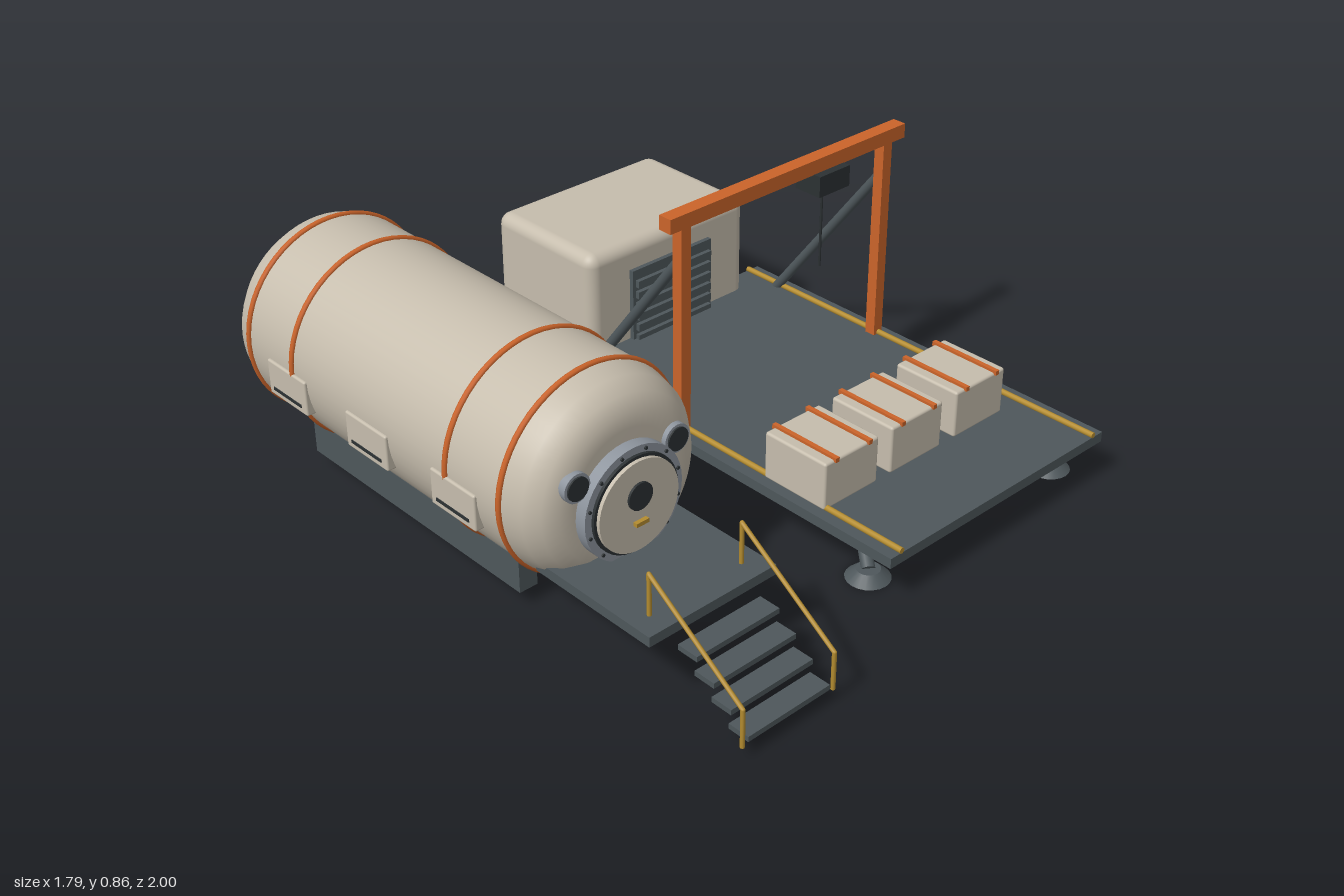
import * as THREE from 'three';
import { RoundedBoxGeometry } from 'three/addons/geometries/RoundedBoxGeometry.js';

const mat = (name, color) => {
  const m = new THREE.MeshStandardMaterial({ color });
  m.name = name;
  return m;
};

export function createModel() {
  const shell = mat('warm beige', 0xc6bdad);
  const orange = mat('safety orange', 0xcb642a);
  const steel = mat('dark steel', 0x4e575b);
  const black = mat('charcoal', 0x2c3133);
  const gold = mat('ochre', 0xb58d30);
  const grey = mat('pale grey', 0x8e959e);

  const root = new THREE.Group();
  root.name = 'outpost';
  const group = (name) => {
    const g = new THREE.Group();
    g.name = name;
    root.add(g);
    return g;
  };
  const add = (parent, name, geo, material, x = 0, y = 0, z = 0) => {
    const m = new THREE.Mesh(geo, material);
    m.name = name;
    m.position.set(x, y, z);
    parent.add(m);
    return m;
  };
  // box given by its min and max along each axis
  const box = (parent, name, material, x0, x1, y0, y1, z0, z1, round = 0) => {
    const s = [x1 - x0, y1 - y0, z1 - z0];
    const geo = round ? new RoundedBoxGeometry(...s, 4, round) : new THREE.BoxGeometry(...s);
    return add(parent, name, geo, material, (x0 + x1) / 2, (y0 + y1) / 2, (z0 + z1) / 2);
  };
  // round bar between two points
  const bar = (parent, name, material, a, b, r, sides = 12) => {
    const p = new THREE.Vector3(...a), q = new THREE.Vector3(...b);
    const d = q.clone().sub(p);
    const m = add(parent, name, new THREE.CylinderGeometry(r, r, d.length(), sides), material);
    m.position.copy(p).add(q).multiplyScalar(0.5);
    m.quaternion.setFromUnitVectors(new THREE.Vector3(0, 1, 0), d.normalize());
    return m;
  };
  // disc facing the front, from z0 to z1
  const disc = (parent, name, material, r, x, y, z0, z1, sides = 40) =>
    add(parent, name, new THREE.CylinderGeometry(r, r, z1 - z0, sides).rotateX(Math.PI / 2),
      material, x, y, (z0 + z1) / 2);

  // ---- cylindrical habitat ----
  const HX = -0.585, HY = 0.42;
  const hab = group('habitat');
  const profile = [[0, -1], [0.17, -1], [0.215, -0.998], [0.255, -0.975], [0.285, -0.935], [0.3, -0.87],
    [0.3, -0.86], [0.3, 0.26], [0.3, 0.27], [0.285, 0.335], [0.255, 0.375], [0.215, 0.398], [0.17, 0.4], [0, 0.4]]
    .map(([r, z]) => new THREE.Vector2(r, z));
  add(hab, 'pressureHull', new THREE.LatheGeometry(profile, 56).rotateX(Math.PI / 2), shell, HX, HY, 0);
  for (const z of [0.265, 0.045, -0.655, -0.872])
    add(hab, 'hullBand', new THREE.TorusGeometry(0.3, 0.009, 8, 56), orange, HX, HY, z);
  for (const s of [-1, 1]) {
    // cradle rails and side access panels
    const rx = HX + s * 0.145;
    box(hab, 'cradleRail', steel, rx - 0.03, rx + 0.03, 0.05, 0.16, -0.78, 0.17);
    for (const z of [0.08, -0.3, -0.68]) {
      const px = HX + s * 0.285;
      box(hab, 'sidePanel', shell, px - 0.023, px + 0.023, 0.31, 0.42, z - 0.093, z + 0.093, 0.006);
      const sx = HX + s * 0.308;
      box(hab, 'panelSlot', black, sx - 0.003, sx + 0.003, 0.33, 0.339, z - 0.068, z + 0.068);
    }
    // portholes beside the hatch
    const wx = HX + s * 0.168;
    disc(hab, 'portholeRim', grey, 0.042, wx, 0.5, 0.36, 0.415, 28);
    disc(hab, 'portholeGlass', black, 0.034, wx, 0.5, 0.41, 0.42, 28);
  }

  // ---- hatch ----
  const hatch = group('hatch');
  const DY = 0.39;
  disc(hatch, 'hatchCollar', grey, 0.165, HX, DY, 0.36, 0.435);
  disc(hatch, 'hatchSeal', black, 0.143, HX, DY, 0.42, 0.444);
  disc(hatch, 'hatchDoor', shell, 0.134, HX, DY, 0.43, 0.455);
  disc(hatch, 'hatchWindow', black, 0.04, HX, 0.422, 0.45, 0.462, 28);
  box(hatch, 'hatchHandle', gold, HX - 0.021, HX + 0.021, 0.338, 0.35, 0.45, 0.468);
  for (let i = 0; i < 12; i++) {
    const a = (i + 0.5) * Math.PI / 6;
    disc(hatch, 'hatchBolt', black, 0.005, HX + 0.154 * Math.cos(a), DY + 0.154 * Math.sin(a), 0.43, 0.44, 8);
  }

  // ---- porch, stairs and handrails ----
  const porch = group('porch');
  box(porch, 'porchDeck', steel, -0.803, -0.367, 0.216, 0.246, 0.3, 0.73);
  for (let i = 0; i < 4; i++) {
    const y = 0.188 - i * 0.0455, z = 0.783 + i * 0.06;
    box(porch, 'stairTread', steel, -0.727, -0.443, y - 0.008, y + 0.008, z - 0.034, z + 0.034);
  }
  for (const x of [-0.743, -0.427]) {
    const pts = [[x, 0.235, 0.664], [x, 0.37, 0.664], [x, 0.15, 0.993], [x, 0.035, 0.993]];
    for (let i = 0; i < 3; i++) bar(porch, 'handrail', gold, pts[i], pts[i + 1], 0.0065, 8);
    for (const p of [pts[1], pts[2]])
      add(porch, 'handrailJoint', new THREE.SphereGeometry(0.0065, 8, 6), gold, ...p);
  }

  // ---- work platform ----
  const deck = group('platform');
  box(deck, 'platformDeck', steel, -0.043, 0.87, 0.125, 0.157, -0.58, 0.835);
  for (const x of [0.0, 0.827])
    bar(deck, 'edgeRail', gold, [x, 0.163, -0.58], [x, 0.163, 0.835], 0.009, 10);
  for (const [x, sx] of [[0.02, 1], [0.807, -1]])
    for (const [z, sz] of [[0.705, -1], [-0.43, 1]]) {
      add(deck, 'footPad', new THREE.CylinderGeometry(0.035, 0.065, 0.028, 20), steel, x, 0.014, z);
      bar(deck, 'legStrut', steel, [x, 0.024, z], [x + sx * 0.105, 0.14, z + sz * 0.15], 0.02);
    }

  // ---- gantry hoist ----
  const gantry = group('gantry');
  const GZ = -0.016;
  box(gantry, 'crossBeam', orange, -0.063, 0.892, 0.81, 0.855, GZ - 0.023, GZ + 0.023);
  for (const x of [0.0, 0.825]) {
    box(gantry, 'gantryPost', orange, x - 0.018, x + 0.018, 0.08, 0.81, GZ - 0.018, GZ + 0.018);
    bar(gantry, 'gantryBrace', steel, [x, 0.71, GZ], [x, 0.15, -0.445], 0.016);
  }
  box(gantry, 'hoistTrolley', black, 0.5, 0.626, 0.745, 0.811, GZ - 0.048, GZ + 0.048);
  bar(gantry, 'hoistCable', black, [0.562, 0.75, GZ], [0.562, 0.485, GZ], 0.004, 8);

  // ---- strapped cargo crates ----
  const cargo = group('cargo');
  for (const x of [0.095, 0.363, 0.637]) {
    box(cargo, 'crate', shell, x - 0.107, x + 0.107, 0.157, 0.307, 0.333, 0.563, 0.008);
    for (const s of [-0.066, 0.066])
      box(cargo, 'crateStrap', orange, x + s - 0.007, x + s + 0.007, 0.301, 0.315, 0.327, 0.569);
  }

  // ---- storage module with roller door ----
  const store = group('storageModule');
  box(store, 'storageShell', shell, 0.08, 0.735, 0.045, 0.487, -0.963, -0.507, 0.04);
  box(store, 'rollerDoor', steel, 0.238, 0.57, 0.06, 0.397, -0.53, -0.492);
  for (let i = 0; i < 8; i++) {
    const y = 0.085 + i * 0.038;
    box(store, 'doorSlat', steel, 0.25, 0.558, y - 0.012, y + 0.012, -0.5, -0.478);
  }

  // ---- service conduit on clamps ----
  const duct = group('conduit');
  box(duct, 'conduitBeam', orange, -0.23, 0.12, 0.056, 0.085, -0.692, -0.664);
  for (const x of [-0.18, -0.06, 0.06])
    box(duct, 'conduitClamp', steel, x - 0.032, x + 0.032, 0.044, 0.06, -0.708, -0.648);

  return root;
}
